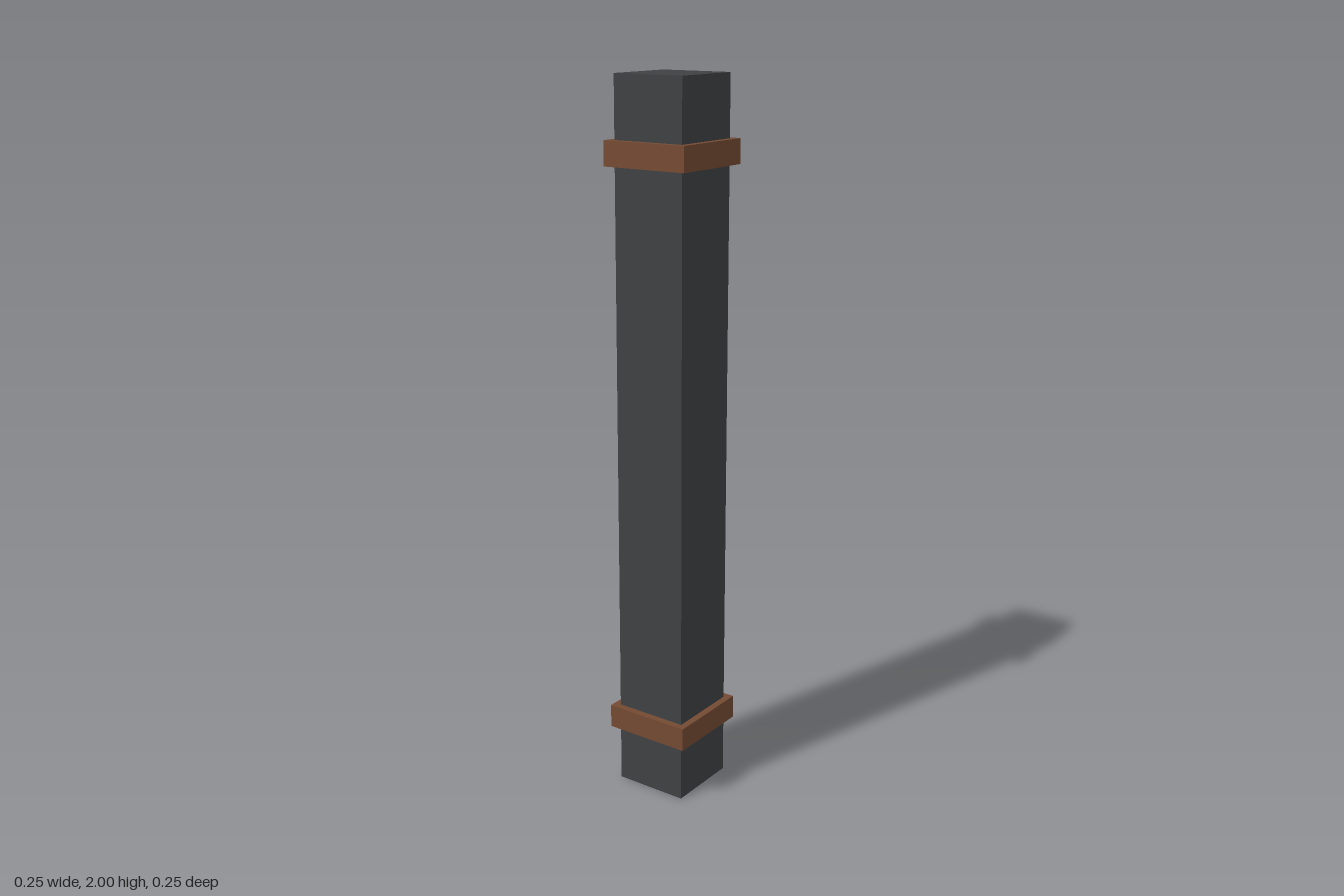
import * as THREE from 'three';

export function createModel() {
  const group = new THREE.Group();
  group.name = 'bandedPost';
  const postMaterial = new THREE.MeshStandardMaterial({ color: 0x3e4143 });
  const bandMaterial = new THREE.MeshStandardMaterial({ color: 0x744a33 });

  const addBlock = (name, width, height, y, material) => {
    const mesh = new THREE.Mesh(new THREE.BoxGeometry(width, height, width), material);
    mesh.name = name;
    mesh.position.y = y;
    group.add(mesh);
  };

  // Square post
  addBlock('post', 0.2133, 2, 1, postMaterial);

  // Collars wrapped around the post near each end
  addBlock('lowerBand', 0.2533, 0.0667, 0.2, bandMaterial);
  addBlock('upperBand', 0.2533, 0.0667, 1.8, bandMaterial);

  return group;
}
